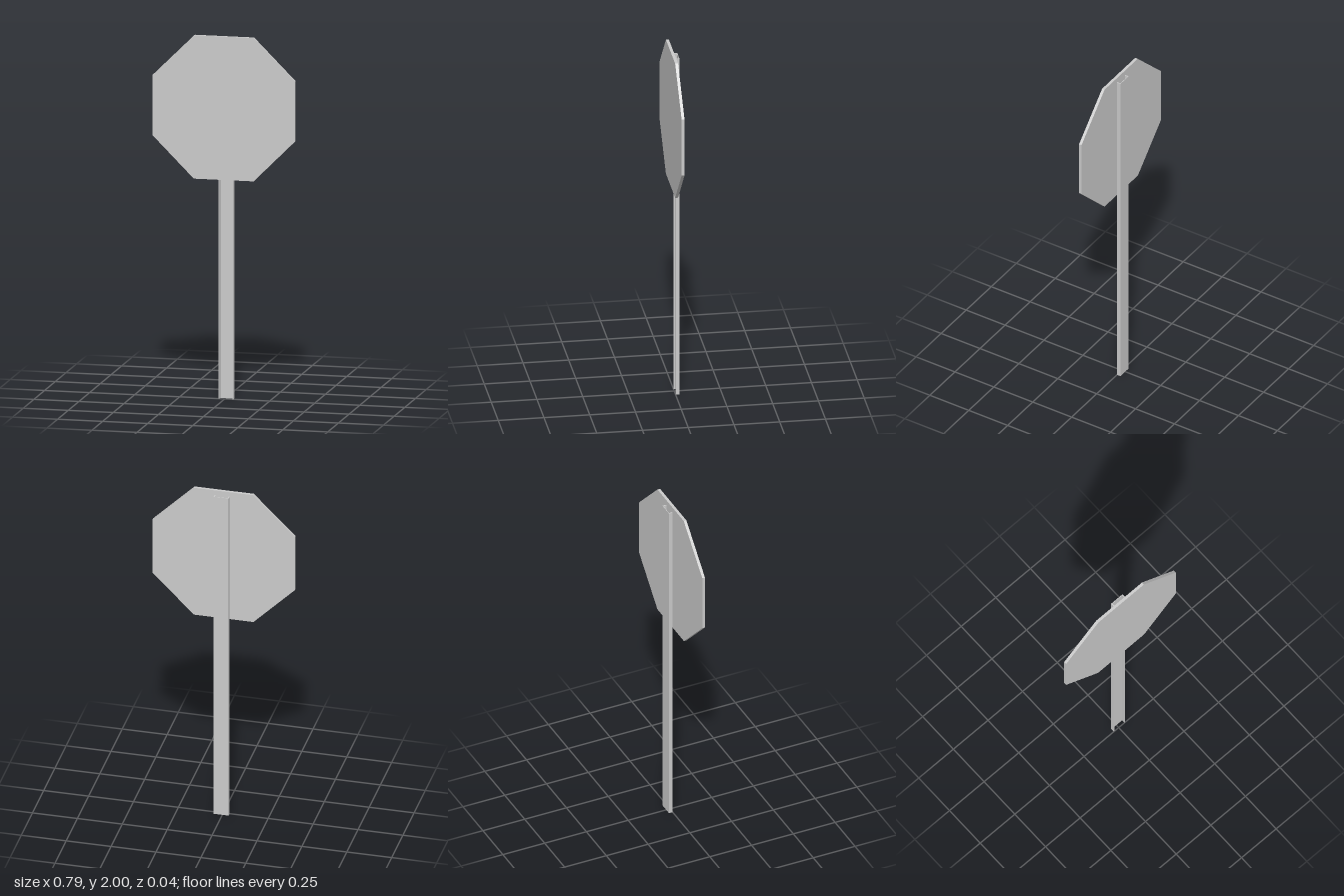
import * as THREE from 'three';

const material = new THREE.MeshStandardMaterial({ color: 0xcccccc, flatShading: true });

// Closed outline extruded along +z
function extrude(name, points, depth) {
  const shape = new THREE.Shape(points.map(([x, y]) => new THREE.Vector2(x, y)));
  const geometry = new THREE.ExtrudeGeometry(shape, { depth, bevelEnabled: false });
  const mesh = new THREE.Mesh(geometry, material);
  mesh.name = name;
  return mesh;
}

export function createModel() {
  const group = new THREE.Group();
  group.name = 'roadSign';

  // Octagonal plate
  const plate = extrude('signPlate', [
    [-0.167, 1.21], [0.165, 1.21], [0.395, 1.44], [0.395, 1.77],
    [0.165, 2], [-0.165, 2], [-0.397, 1.77], [-0.397, 1.44],
  ], 0.016);
  plate.position.z = 0.004;
  group.add(plate);

  // U-channel post, open towards the plate; outline is in x and -z
  const left = -0.035, right = 0.048, back = 0.022, front = 0.001;
  const flange = 0.006, web = 0.003;
  const post = extrude('channelPost', [
    [left, front], [left + flange, front], [left + flange, back - web],
    [right - flange, back - web], [right - flange, front], [right, front],
    [right, back], [left, back],
  ], 1.975);
  post.rotation.x = -Math.PI / 2;
  group.add(post);

  return group;
}
